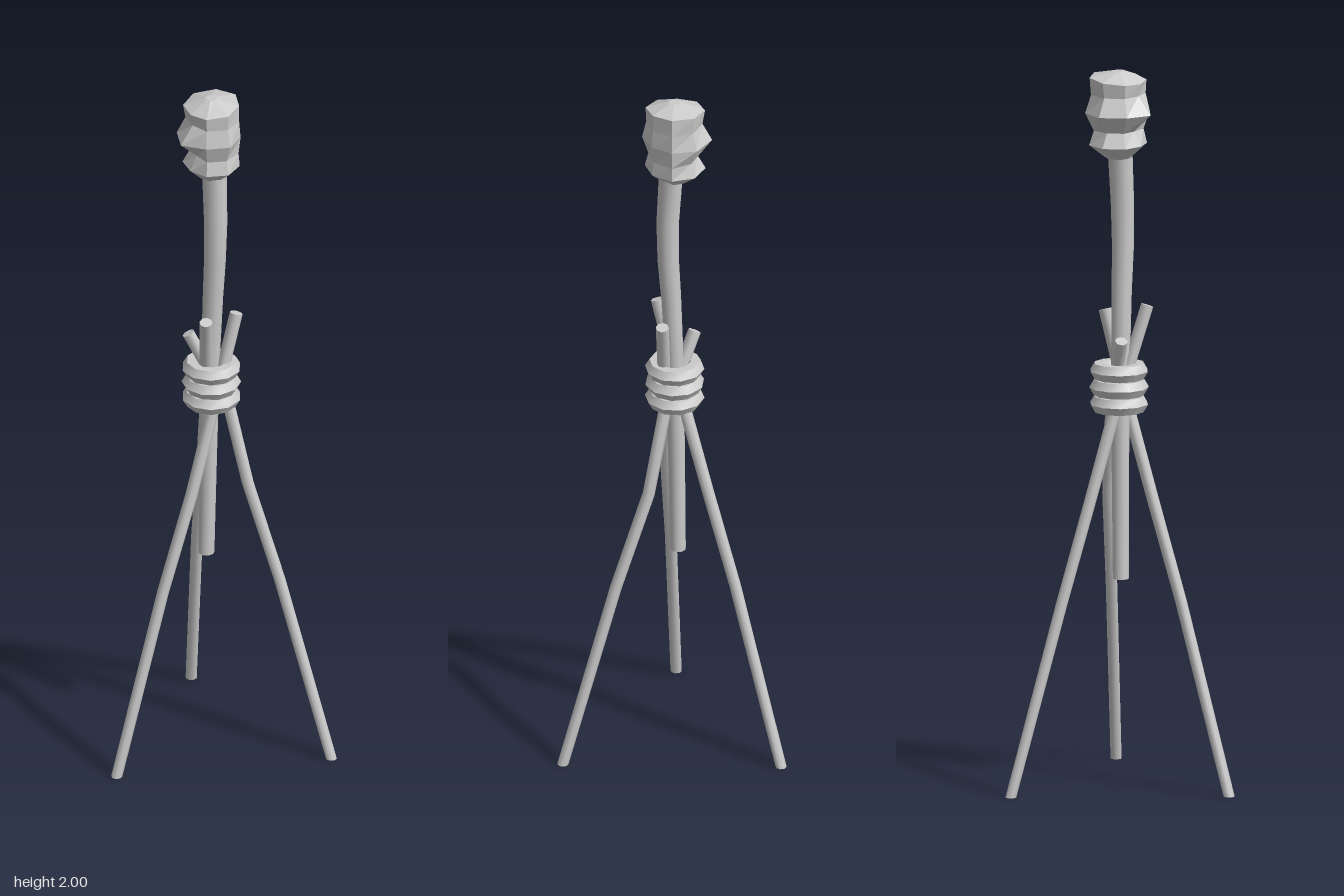
import * as THREE from 'three';
import { toCreasedNormals } from 'three/addons/utils/BufferGeometryUtils.js';

const V = (x, y, z) => new THREE.Vector3(x, y, z);

// Skins a stack of closed rings (counter-clockwise seen from above, bottom to top) and caps both ends.
function loft(rings, crease) {
  const n = rings[0].length, pos = rings.flat().flatMap(p => [p.x, p.y, p.z]), idx = [];
  for (let r = 0; r < rings.length - 1; r++) {
    for (let i = 0; i < n; i++) {
      const a = r * n + i, b = r * n + (i + 1) % n;
      idx.push(a, b, b + n, a, b + n, a + n);
    }
  }
  [[0, 1], [rings.length - 1, 0]].forEach(([r, flip]) => {
    const c = rings[r].reduce((s, p) => s.add(p), V(0, 0, 0)).divideScalar(n);
    const ci = pos.length / 3;
    pos.push(c.x, c.y, c.z);
    for (let i = 0; i < n; i++) {
      const a = r * n + i, b = r * n + (i + 1) % n;
      if (flip) idx.push(ci, b, a); else idx.push(ci, a, b);
    }
  });
  const g = new THREE.BufferGeometry();
  g.setAttribute('position', new THREE.Float32BufferAttribute(pos, 3));
  g.setIndex(idx);
  return toCreasedNormals(g, crease);
}

// Bent stick through a list of points, tapering from r0 to r1; the foot may be cut level.
function stick(points, r0, r1, sides, levelFoot) {
  const pts = points.map(p => V(...p)), last = pts.length - 1, up = V(0, 1, 0);
  const rings = pts.map((p, k) => {
    const dir = pts[Math.min(k + 1, last)].clone().sub(pts[Math.max(k - 1, 0)]).normalize();
    const q = new THREE.Quaternion();
    if (!(levelFoot && k === 0)) q.setFromUnitVectors(up, dir);
    const rad = r0 + (r1 - r0) * k / last;
    return Array.from({ length: sides }, (_, i) => {
      const a = (i / sides) * Math.PI * 2;
      return V(Math.sin(a) * rad, 0, Math.cos(a) * rad).applyQuaternion(q).add(p);
    });
  });
  return loft(rings, 0.9);
}

// Faceted knob: eight columns whose bulges fade out towards the back.
function knob() {
  const base = [0.073, 0.08, 0.085, 0.082, 0.087, 0.088, 0.088, 0.082]; // from +z towards +x
  const weight = [1, 0.4, 0.4, 0.1, 0, 0.6, 1, 0.9];
  const levels = [ // height, scale, bulge
    [1.757, 0.42, 0], [1.795, 0.97, 0], [1.835, 0.96, -0.022], [1.885, 0.98, 0.028 * 0.6],
    [1.935, 0.96, -0.008], [1.978, 0.95, 0], [2.0, 0.2, 0],
  ];
  const rings = levels.map(([y, s, bulge], k) => base.map((b, i) => {
    const a = i * Math.PI / 4;
    const nose = i === 0 && k === 3 ? 0.014 : 0;
    const r = b * s + bulge * weight[i] + nose;
    const lift = k === 5 ? -0.008 * Math.cos(a) : 0;
    return V(0.008 + Math.sin(a) * r, y + lift, -0.07 + Math.cos(a) * r);
  }));
  return loft(rings, 0.05);
}

export function createModel() {
  const model = new THREE.Group();
  const material = new THREE.MeshStandardMaterial({ color: 0xcccccc });
  const add = (name, geometry) => {
    const mesh = new THREE.Mesh(geometry, material);
    mesh.name = name;
    model.add(mesh);
    return mesh;
  };

  // Central pole with its carved knob
  add('pole', stick([
    [0, 0.58, -0.06], [0.004, 0.9, -0.064], [0.01, 1.2, -0.067], [0.018, 1.38, -0.069],
    [0.026, 1.5, -0.07], [0.027, 1.62, -0.072], [0.018, 1.775, -0.074],
  ], 0.022, 0.034, 10, true));
  add('knob', knob());

  // Three legs that cross inside the binding and stick out above it
  const legs = {
    frontLeg: [[0.037, 0, 0.27], [0.037, 0.525, 0.114], [0.04, 0.8, 0.02], [0.036, 1.04, -0.055], [0.036, 1.32, -0.135]],
    rightLeg: [[-0.3, 0, -0.225], [-0.165, 0.525, -0.147], [-0.085, 0.8, -0.107], [-0.018, 1.04, -0.072], [0.062, 1.34, -0.014]],
    leftLeg: [[0.297, 0, -0.268], [0.158, 0.525, -0.193], [0.072, 0.8, -0.148], [0.032, 1.04, -0.112], [-0.043, 1.255, -0.03]],
  };
  for (const [name, path] of Object.entries(legs)) add(name, stick(path, 0.0155, 0.018, 8, true));

  // Binding: three stacked coils
  const coils = new THREE.Group();
  coils.name = 'binding';
  for (let i = 0; i < 3; i++) {
    const geometry = new THREE.TorusGeometry(0.057, 0.025, 6, 10).rotateX(Math.PI / 2);
    const coil = add('coil', toCreasedNormals(geometry, 0.8));
    coil.position.set(0.008, 1.068 + i * 0.046, -0.071);
    coil.rotation.y = i * 0.3;
    coils.add(coil);
  }
  model.add(coils);
  return model;
}
